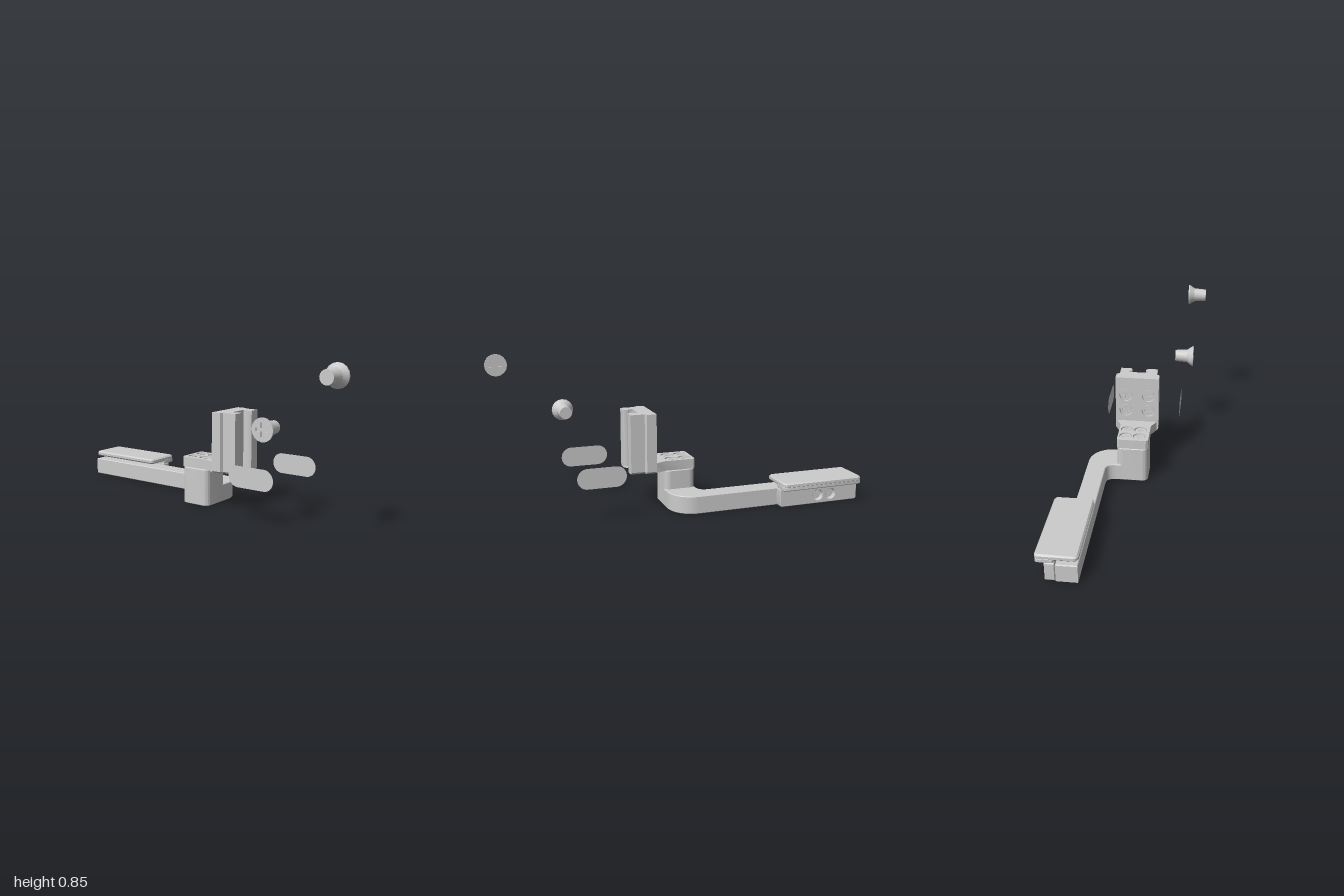
import * as THREE from 'three';
import { toCreasedNormals } from 'three/addons/utils/BufferGeometryUtils.js';

const material = new THREE.MeshStandardMaterial({ color: 0xcccccc });
const thinMaterial = new THREE.MeshStandardMaterial({ color: 0xcccccc, side: THREE.DoubleSide });

function part(name, geometry, mat = material) {
  const mesh = new THREE.Mesh(toCreasedNormals(geometry, 0.6), mat);
  mesh.name = name;
  return mesh;
}

function extrude(shape, depth, bevel = 0) {
  const geo = new THREE.ExtrudeGeometry(shape, {
    depth: depth - 2 * bevel, bevelEnabled: bevel > 0, bevelSize: bevel,
    bevelThickness: bevel, bevelOffset: -bevel, bevelSegments: 1, curveSegments: 8,
  });
  return geo.translate(0, 0, bevel);
}

// Plan shapes are drawn in (x, -z) and raised from y0 to y1.
function raise(shape, y0, y1, bevel = 0) {
  return extrude(shape, y1 - y0, bevel).rotateX(-Math.PI / 2).translate(0, y0, 0);
}

function roundRect(x0, y0, x1, y1, r) {
  const s = new THREE.Shape();
  s.absarc(x1 - r, y1 - r, r, 0, Math.PI / 2);
  s.absarc(x0 + r, y1 - r, r, Math.PI / 2, Math.PI);
  s.absarc(x0 + r, y0 + r, r, Math.PI, Math.PI * 1.5);
  s.absarc(x1 - r, y0 + r, r, Math.PI * 1.5, Math.PI * 2);
  s.closePath();
  return s;
}

function polygon(points) {
  return new THREE.Shape(points.map(([x, y]) => new THREE.Vector2(x, y)));
}

function drill(shape, centres, r) {
  for (const [x, y] of centres) {
    const hole = new THREE.Path();
    hole.absarc(x, y, r, 0, Math.PI * 2, true);
    shape.holes.push(hole);
  }
  return shape;
}

// Countersunk screw with its head at the origin, facing +z
function makeScrew(name, r, headDepth, shankR, shankLength) {
  const screw = new THREE.Group();
  screw.name = name;
  const rim = r * 0.12;
  const a = r * 0.15, b = r * 0.6;
  const face = new THREE.Shape();
  face.absarc(0, 0, r, 0, Math.PI * 2);
  face.holes.push(new THREE.Path([
    [a, a], [a, b], [-a, b], [-a, a], [-b, a], [-b, -a],
    [-a, -a], [-a, -b], [a, -b], [a, -a], [b, -a], [b, a],
  ].map(([x, y]) => new THREE.Vector2(x, y))));
  screw.add(part('screwHead', extrude(face, rim).translate(0, 0, -rim)));
  screw.add(part('screwCone', new THREE.CylinderGeometry(r, shankR, headDepth - rim, 16)
    .rotateX(Math.PI / 2).translate(0, 0, -(headDepth + rim) / 2)));
  if (shankLength > 0) {
    screw.add(part('screwShank', new THREE.CylinderGeometry(shankR, shankR * 0.86, shankLength, 16)
      .rotateX(Math.PI / 2).translate(0, 0, -headDepth - shankLength / 2)));
  }
  return screw;
}

export function createModel() {
  const model = new THREE.Group();
  model.name = 'bracketAssembly';

  // Bent arm and the raised block at its end
  const arm = new THREE.Shape();
  arm.moveTo(-1, 0.15);
  arm.lineTo(-0.14, 0.15);
  arm.quadraticCurveTo(-0.09, 0.15, -0.09, 0.09);
  arm.lineTo(-0.09, 0);
  arm.lineTo(0.085, 0);
  arm.lineTo(0.085, 0.12);
  arm.absarc(-0.05, 0.122, 0.135, 0, Math.PI / 2);
  arm.lineTo(-1, 0.257);
  arm.closePath();
  model.add(part('arm', raise(arm, 0, 0.1, 0.004)));
  model.add(part('block', raise(roundRect(-0.09, -0.087, 0.085, 0.09, 0.033), 0, 0.208, 0.004)));

  // Clamp wall with two recessed screws, its flange and the pad on top
  const clampHoles = [[-0.75, 0.05], [-0.83, 0.05]];
  const wall = drill(roundRect(-1, 0.002, -0.515, 0.11, 0.012), clampHoles, 0.03);
  model.add(part('clampWall', extrude(wall, 0.05, 0.003).translate(0, 0, -0.31)));
  for (const [x, y] of clampHoles) {
    const s = makeScrew('clampScrew', 0.0295, 0.015, 0.02, 0);
    s.position.set(x, y, -0.285);
    s.rotation.y = Math.PI;
    model.add(s);
  }
  model.add(part('clampFlange', raise(roundRect(-1, 0.26, -0.515, 0.355, 0.015), 0.104, 0.13, 0.005)));
  model.add(part('pad', raise(roundRect(-1, 0.147, -0.515, 0.357, 0.022), 0.12, 0.15, 0.008)));

  // Flat mounting plate with four sunken screws
  const plateHoles = [[-0.04, 0.045], [0.037, 0.045], [-0.04, -0.033], [0.037, -0.033]];
  const plate = polygon([
    [-0.09, -0.075], [-0.08, -0.087], [0.09, -0.087], [0.14, -0.115], [0.17, -0.115],
    [0.17, 0.115], [0.14, 0.115], [0.09, 0.09], [-0.08, 0.09], [-0.09, 0.078],
  ]);
  model.add(part('mountingPlate', raise(drill(plate, plateHoles, 0.036), 0.21, 0.265)));
  for (const [x, s] of plateHoles) {
    const screw = makeScrew('plateScrew', 0.032, 0.02, 0.02, 0.025);
    screw.position.set(x, 0.26, -s);
    screw.rotation.x = -Math.PI / 2;
    model.add(screw);
  }

  // Back slab of the upright, with four sunken screws facing the arm
  const slabHoles = [[-0.065, 0.43], [0.065, 0.43], [-0.065, 0.335], [0.065, 0.335]];
  const slab = drill(polygon([
    [-0.115, 0.21], [0.115, 0.21], [0.125, 0.22], [0.125, 0.54], [-0.125, 0.54], [-0.125, 0.22],
  ]), slabHoles, 0.038);
  model.add(part('uprightSlab', extrude(slab, 0.02).rotateY(-Math.PI / 2).translate(0.165, 0, 0)));
  for (const [z, y] of slabHoles) {
    const screw = makeScrew('uprightScrew', 0.034, 0.02, 0.02, 0);
    screw.position.set(0.149, y, z);
    screw.rotation.y = -Math.PI / 2;
    model.add(screw);
  }

  // Slotted rail: half profile mirrored across the slot
  const half = [[0.165, 0.125], [0.2, 0.125], [0.207, 0.108], [0.285, 0.108],
    [0.285, 0.05], [0.27, 0.04], [0.255, 0.04], [0.25, 0.053], [0.23, 0.053]];
  const rail = polygon([...half, ...half.map(([x, s]) => [x, -s]).reverse()]);
  model.add(part('slottedRail', raise(rail, 0.22, 0.54)));
  const foot = raise(rail, 0.21, 0.22);
  const p = foot.attributes.position;
  for (let i = 0; i < p.count; i++) {
    if (p.getY(i) < 0.215) p.setZ(i, p.getZ(i) * 0.92);
  }
  foot.computeVertexNormals();
  model.add(part('railFoot', foot));

  // Thin oval inserts on either side
  for (const [y, z] of [[0.245, 0.238], [0.238, -0.2]]) {
    const oval = roundRect(0.335, y - 0.056, 0.6, y + 0.056, 0.0555);
    model.add(part('ovalInsert', new THREE.ShapeGeometry(oval, 10).translate(0, 0, z), thinMaterial));
  }

  // Loose screws
  const frontScrew = makeScrew('looseScrewFront', 0.061, 0.037, 0.04, 0.073);
  frontScrew.position.set(0.575, 0.512, 0.304);
  const backScrew = makeScrew('looseScrewBack', 0.061, 0.037, 0.042, 0.073);
  backScrew.position.set(0.938, 0.79, 0.25);
  backScrew.rotation.y = Math.PI;
  model.add(frontScrew, backScrew);

  return model;
}
